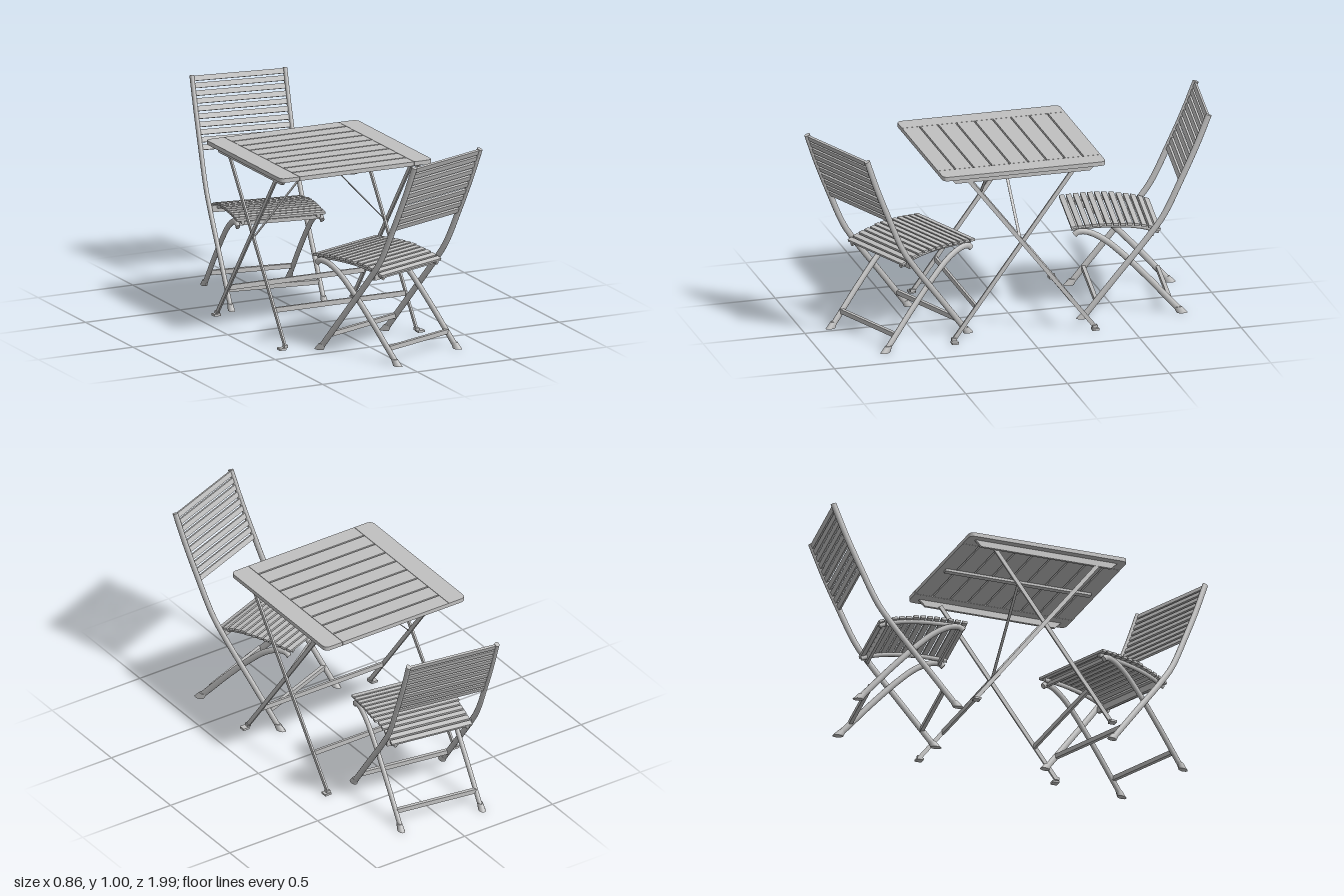
import * as THREE from 'three';

const mat = new THREE.MeshStandardMaterial({ color: 0xc0c0c0 });
mat.name = 'grey';

function add(parent, name, geo, x = 0, y = 0, z = 0) {
  const m = new THREE.Mesh(geo, mat);
  m.name = name;
  m.position.set(x, y, z);
  parent.add(m);
  return m;
}
const box = (w, h, d) => new THREE.BoxGeometry(w, h, d);

// Straight bar of rectangular section between two points
function bar(parent, name, a, b, w, d) {
  const p = new THREE.Vector3(...a), q = new THREE.Vector3(...b);
  const m = add(parent, name, box(w, d, p.distanceTo(q)));
  m.position.copy(p).add(q).multiplyScalar(0.5);
  m.lookAt(q);
}

// Smooth oval rail with flat ends, following (z, y) points in a side plane
function sideCurve(pts) {
  return new THREE.CatmullRomCurve3(pts.map(([z, y]) => new THREE.Vector3(0, y, z)), false, 'centripetal');
}
function ovalRail(parent, name, curve, x, radius, squash) {
  add(parent, name, new THREE.TubeGeometry(curve, 40, radius, 12).scale(squash, 1, 1), x);
  for (const t of [0, 1]) {
    const cap = add(parent, name + 'End', new THREE.CircleGeometry(radius, 12).scale(squash, 1, 1), x);
    cap.position.add(curve.getPointAt(t));
    cap.lookAt(curve.getTangentAt(t).multiplyScalar(t ? 1 : -1).add(cap.position));
  }
}

// Tapered shoe leaning along its leg
function shoe(parent, x, z, lean) {
  const g = new THREE.CylinderGeometry(0.0125, 0.0165, 0.03, 14);
  const p = g.attributes.position;
  for (let i = 0; i < p.count; i++) p.setZ(i, p.getZ(i) * 1.6 + p.getY(i) * lean);
  g.computeVertexNormals();
  add(parent, 'shoe', g, x, 0.015, z);
}

function makeTable() {
  const table = new THREE.Group();
  table.name = 'table';
  const top = 0.855, thick = 0.02, half = 0.4, inner = 0.303;

  // End boards with rounded outer corners
  for (const s of [-1, 1]) {
    const r = 0.03, sh = new THREE.Shape();
    sh.moveTo(inner, -half);
    sh.lineTo(half - r, -half);
    sh.quadraticCurveTo(half, -half, half, -half + r);
    sh.lineTo(half, half - r);
    sh.quadraticCurveTo(half, half, half - r, half);
    sh.lineTo(inner, half);
    const g = new THREE.ExtrudeGeometry(sh, { depth: thick, bevelEnabled: false, curveSegments: 6 });
    g.rotateX(-Math.PI / 2);
    if (s < 0) g.rotateY(Math.PI);
    add(table, 'endBoard', g, 0, top - thick, 0);
  }
  // Top slats
  const n = 9, gap = 0.008, w = (2 * half - (n - 1) * gap) / n;
  for (let i = 0; i < n; i++)
    add(table, 'topSlat', box(0.602, thick, w), 0, top - thick / 2, -half + w / 2 + i * (w + gap));
  add(table, 'centreBatten', box(0.03, 0.012, 0.74), 0, 0.829, 0);

  // Tapered rails, crossed legs and feet at both ends
  const back = [[0.265, 0.815], [-0.355, 0.015]], front = [[-0.255, 0.815], [0.335, 0.015]];
  for (const s of [-1, 1]) {
    const sh = new THREE.Shape();
    [[-0.36, 0.035], [-0.33, 0.005], [0.33, 0.005], [0.36, 0.035]].forEach(([a, b], i) =>
      i ? sh.lineTo(a, b) : sh.moveTo(a, b));
    const g = new THREE.ExtrudeGeometry(sh, { depth: 0.014, bevelEnabled: false });
    g.rotateY(Math.PI / 2);
    add(table, 'topRail', g, s * 0.358 - 0.007, 0.8, 0);
    for (const [[a, b], off] of [[back, 0.36], [front, 0.347]]) {
      bar(table, 'tableLeg', [s * off, a[1], a[0]], [s * off, b[1], b[0]], 0.009, 0.02);
      add(table, 'tableFoot', box(0.034, 0.01, 0.033), s * 0.365, 0.006, b[0]);
      add(table, 'footSocket', box(0.018, 0.014, 0.024), s * off, 0.017, b[0]);
    }
    // Thin diagonal brace
    bar(table, 'brace', [s * 0.342, 0.475, 0.005], [s * 0.012, 0.825, 0.005], 0.013, 0.004);
  }
  // Lower stretchers
  for (const [[a, b], len] of [[back, 0.72], [front, 0.694]]) {
    const t = (0.166 - b[1]) / (a[1] - b[1]);
    add(table, 'stretcher', box(len, 0.024, 0.012), 0, 0.166, b[0] + t * (a[0] - b[0]));
  }
  table.position.set(-0.03, 0, 0.025);
  return table;
}

function makeChair() {
  const chair = new THREE.Group();
  chair.name = 'chair';
  const upright = sideCurve([[0, 0.995], [0.06, 0.84], [0.13, 0.68], [0.215, 0.5], [0.285, 0.4], [0.44, 0.205], [0.587, 0.02]]);
  const arch = sideCurve([[0.637, 0.414], [0.62, 0.428], [0.575, 0.426], [0.5, 0.388], [0.41, 0.31], [0.28, 0.175], [0.2, 0.085], [0.142, 0.02]]);
  const seat = sideCurve([[0.232, 0.405], [0.3, 0.428], [0.4, 0.443], [0.53, 0.446], [0.648, 0.438]]);

  // Side frames
  for (const s of [-1, 1]) {
    ovalRail(chair, 'upright', upright, s * 0.231, 0.015, 0.72);
    ovalRail(chair, 'archedLeg', arch, s * 0.209, 0.015, 0.72);
    ovalRail(chair, 'seatRail', seat, s * 0.188, 0.011, 0.8);
    shoe(chair, s * 0.231, 0.595, -0.7);
    shoe(chair, s * 0.211, 0.135, 0.7);
  }

  // Place a slat across a curve, tilted to its tangent
  function slat(name, curve, t, width, depth, thick, lift) {
    const p = curve.getPointAt(t), d = curve.getTangentAt(t);
    const m = add(chair, name, box(width, thick, depth), 0, p.y + lift * d.z, p.z - lift * d.y);
    m.rotation.x = -Math.atan2(d.y, d.z);
  }
  // Back slats, spaced evenly by height
  for (let i = 0; i < 10; i++) {
    const y = 0.982 - i * 0.0341;
    let t = 0;
    while (upright.getPointAt(t).y > y) t += 0.002;
    slat('backSlat', upright, t, 0.452, 0.025, 0.012, 0);
  }
  // Seat slats, narrower where they pass between the uprights
  const seatSlats = 13;
  for (let i = 0; i < seatSlats; i++) {
    const t = 0.03 + 0.95 * i / (seatSlats - 1);
    slat('seatSlat', seat, t, t < 0.4 ? 0.42 : 0.44, 0.025, 0.012, 0.014);
  }
  // Cross rails
  add(chair, 'rearSeatRail', box(0.44, 0.032, 0.014), 0, 0.41, 0.268);
  add(chair, 'frontSeatRail', box(0.41, 0.018, 0.014), 0, 0.426, 0.615);
  add(chair, 'rearRung', box(0.414, 0.022, 0.018), 0, 0.075, 0.185);
  add(chair, 'frontRung', box(0.458, 0.022, 0.018), 0, 0.085, 0.536);
  return chair;
}

export function createModel() {
  const model = new THREE.Group();
  model.name = 'foldingTableAndChairs';
  model.add(makeTable());
  for (const [name, x, z, turn] of [['rearChair', 0.03, -0.945, -0.15], ['frontChair', 0.207, 0.902, Math.PI + 0.375]]) {
    const c = makeChair();
    c.name = name;
    c.position.set(x, 0, z);
    c.rotation.y = turn;
    model.add(c);
  }
  return model;
}
